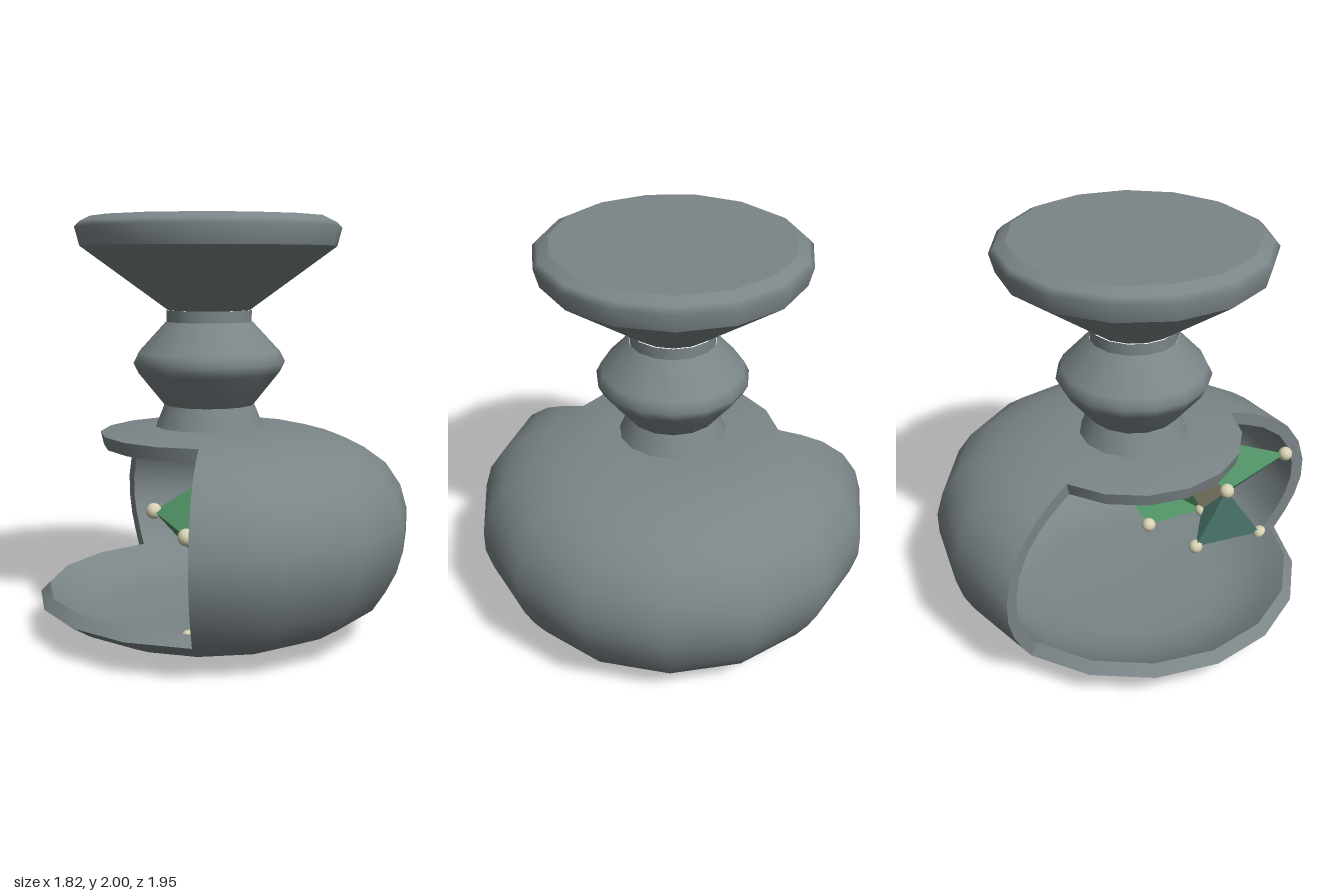
import * as THREE from 'three';

const rad = THREE.MathUtils.degToRad;
const mat = (color, side = THREE.FrontSide, flatShading = false) => {
  const m = new THREE.MeshStandardMaterial({ color, side });
  m.flatShading = flatShading;
  return m;
};

export function createModel() {
  const model = new THREE.Group();
  model.name = 'cutawayVase';
  const slate = mat(0x7b8588);
  const slateTwoSided = mat(0x7b8588, THREE.DoubleSide, true);

  // Everything turns around an axis slightly off centre
  const axis = new THREE.Group();
  axis.name = 'turnedParts';
  axis.position.x = -0.07;
  model.add(axis);

  const turn = (name, pts, start = 90, sweep = 360, segments = 15) => {
    const points = pts.map(([r, y]) => new THREE.Vector2(r, y));
    const mesh = new THREE.Mesh(new THREE.LatheGeometry(points, segments, rad(start), rad(sweep)), slate);
    mesh.name = name;
    axis.add(mesh);
  };

  // Hollow body: outer profile, and an inner one offset by the wall thickness
  const wall = 0.065;
  const outer = [
    [0, 0], [0.46, 0.01], [0.62, 0.045], [0.74, 0.1], [0.84, 0.165], [0.9, 0.26], [0.95, 0.36],
    [0.98, 0.47], [0.98, 0.58], [0.945, 0.7], [0.87, 0.81], [0.76, 0.89], [0.65, 0.935],
    [0.53, 0.97], [0.4, 0.99], [0.27, 1], [0, 1],
  ];
  const last = outer.length - 1;
  const inner = outer.map(([r, y], i) => {
    if (i === 0 || i === last) return [0, i ? 1 - wall : wall];
    const [r0, y0] = outer[i - 1], [r1, y1] = outer[i + 1];
    const len = Math.hypot(r1 - r0, y1 - y0);
    return [r - wall * (y1 - y0) / len, y + wall * (r1 - r0) / len];
  });

  // Full-height sector, then the open sector with only its floor and shelf
  const closed = [-6, 213, 9], open = [207, 147, 7];
  turn('bodyOuterWall', outer, ...closed);
  turn('bodyInnerWall', [...inner].reverse(), ...closed);
  const low = 4, high = 13;
  turn('floorUnderside', outer.slice(0, low + 1), ...open);
  turn('floorLip', [outer[low], inner[low]], ...open);
  turn('floorInside', inner.slice(0, low + 1).reverse(), ...open);
  turn('shelfTop', outer.slice(high), ...open);
  turn('shelfLip', [inner[high], outer[high]], ...open);
  turn('shelfUnderside', inner.slice(high).reverse(), ...open);

  // Wall sections showing at the two cuts
  const section = new THREE.Shape([...outer, ...[...inner].reverse()].map(([r, y]) => new THREE.Vector2(r, y)));
  for (const phi of [-6, 207]) {
    const face = new THREE.Mesh(new THREE.ShapeGeometry(section), slateTwoSided);
    face.name = 'cutFace';
    face.rotation.y = rad(phi - 90);
    axis.add(face);
  }

  // Neck and flared top
  turn('neckBase', [[0.265, 0.995], [0.22, 1.105]]);
  turn('neckBulge', [[0.22, 1.105], [0.345, 1.26], [0.37, 1.31], [0.345, 1.36], [0.21, 1.505]]);
  turn('neckCollar', [[0.207, 1.5], [0.207, 1.56]]);
  turn('flare', [[0.2, 1.56], [0.617, 1.862]]);
  turn('flareRim', [[0.617, 1.862], [0.64, 1.95], [0.615, 1.975], [0.565, 2]]);
  turn('topDisc', [[0.565, 2], [0, 2]]);

  // Faceted crystal inside the body
  const A = [0.05, 0.28, 0.16], B = [0, 0.31, 0.46], C = [-0.33, 0.66, 0.39], D = [-0.18, 0.655, 0.85];
  const E = [-0.17, 0.175, 0.73], F = [-0.11, 0.17, 0.36], P = [0.08, 0.87, 0.18], Q = [0.4, 0.6, 0];
  const crystal = new THREE.Group();
  crystal.name = 'crystal';
  model.add(crystal);
  const facet = (name, color, corners, side = THREE.DoubleSide) => {
    const g = new THREE.BufferGeometry();
    const tris = [];
    for (let i = 1; i < corners.length - 1; i++) tris.push(...corners[0], ...corners[i], ...corners[i + 1]);
    g.setAttribute('position', new THREE.Float32BufferAttribute(tris, 3));
    g.computeVertexNormals();
    const mesh = new THREE.Mesh(g, mat(color, side, true));
    mesh.name = name;
    crystal.add(mesh);
  };
  const green = 0x4f8f63, teal = 0x659c90, cream = 0xd8d2b4;
  facet('tealFacet', teal, [C, B, F, E], THREE.FrontSide);
  facet('creamFacet', cream, [B, C, P]);
  facet('backGreenFacet', green, [B, P, Q, A]);
  facet('upperGreenFacet', green, [C, D, P]);
  facet('lowerGreenFacet', green, [C, B, D]);

  // Small balls on the crystal corners
  const ball = new THREE.SphereGeometry(0.037, 16, 12);
  const ballMat = mat(cream);
  for (const corner of [A, B, C, D, E, F]) {
    const mesh = new THREE.Mesh(ball, ballMat);
    mesh.name = 'cornerBall';
    mesh.position.set(...corner);
    crystal.add(mesh);
  }
  return model;
}
